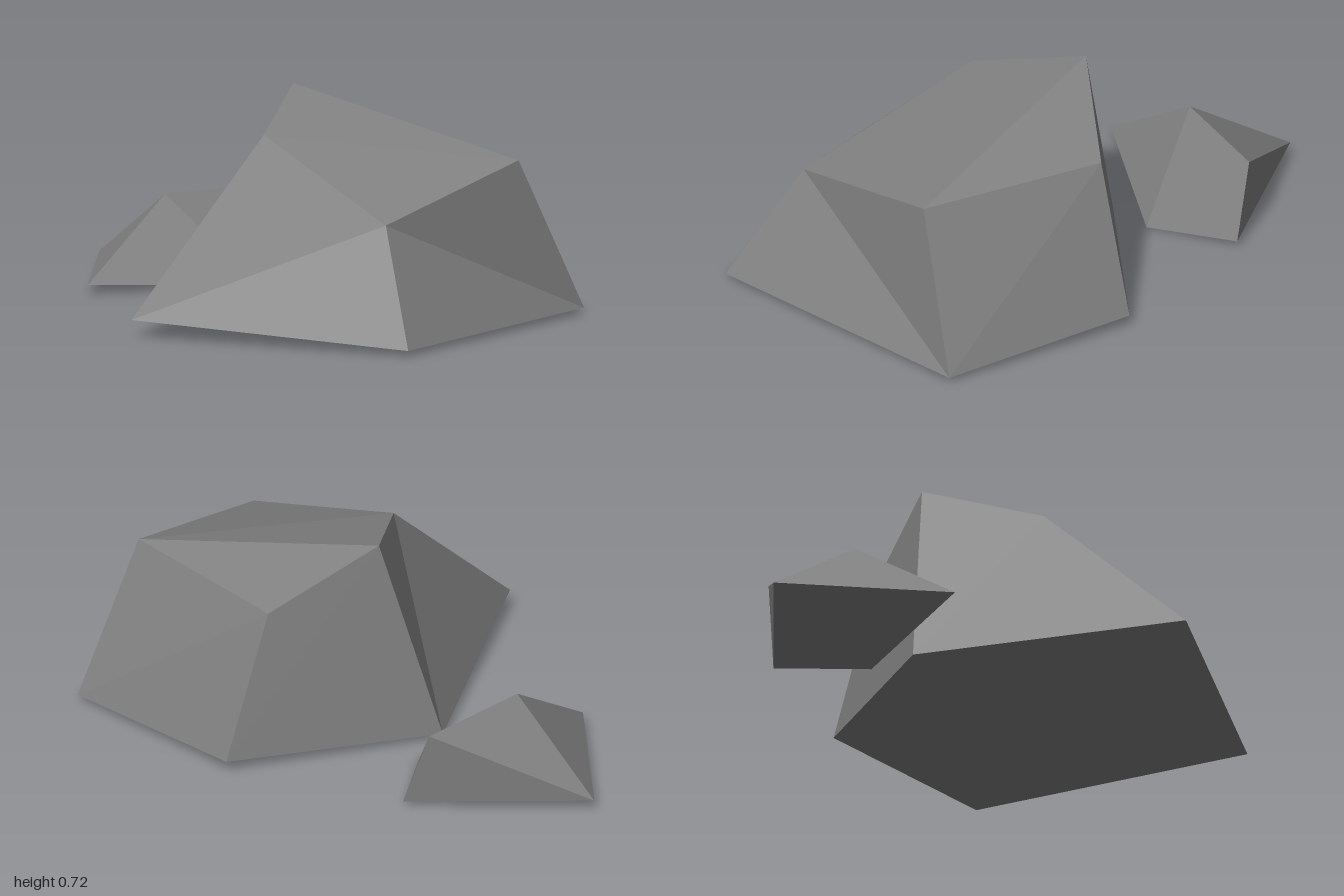
import * as THREE from 'three';

// Faceted stone: corner points joined by triangles, counter-clockwise from outside
function makeStone(name, corners, faces, material) {
  const geometry = new THREE.BufferGeometry();
  const positions = faces.flat().flatMap((i) => corners[i]);
  geometry.setAttribute('position', new THREE.Float32BufferAttribute(positions, 3));
  geometry.computeVertexNormals();
  const mesh = new THREE.Mesh(geometry, material);
  mesh.name = name;
  return mesh;
}

export function createModel() {
  const group = new THREE.Group();
  group.name = 'rocks';
  const stone = new THREE.MeshStandardMaterial({ color: 0x808080, flatShading: true });
  stone.name = 'stone grey';

  // Large boulder: five-sided base loop, then five-sided top loop
  group.add(makeStone('largeRock', [
    [-0.74, 0.06, 0.10], [-0.32, 0.02, 1.0], [0.67, 0.02, 0.81], [0.74, 0.045, 0.11], [0.10, 0.02, -0.30],
    [-0.14, 0.615, 0.11], [-0.20, 0.40, 0.765], [0.435, 0.54, 0.74], [0.55, 0.54, 0.085], [0.205, 0.72, -0.11],
  ], [
    [0, 1, 6], [0, 6, 5], [1, 2, 6], [2, 7, 6], [2, 3, 8], [2, 8, 7], // left, front and right sides
    [3, 4, 9], [3, 9, 8], [4, 0, 5], [4, 5, 9], // back sides
    [5, 6, 7], [5, 7, 9], [7, 8, 9], // top
    [0, 4, 3], [0, 3, 1], [1, 3, 2], // underside
  ], stone));

  // Small rock: four-cornered base and a short ridge
  group.add(makeStone('smallRock', [
    [-0.29, 0.034, -0.585], [0.255, 0, -0.325], [0.54, 0.022, -0.49], [0.155, 0.04, -1.0],
    [0.10, 0.29, -0.622], [0.50, 0.283, -0.57],
  ], [
    [0, 1, 4], [1, 5, 4], [1, 2, 5], [2, 3, 5], [3, 4, 5], [3, 0, 4], // sides
    [0, 3, 2], [0, 2, 1], // underside
  ], stone));

  return group;
}
